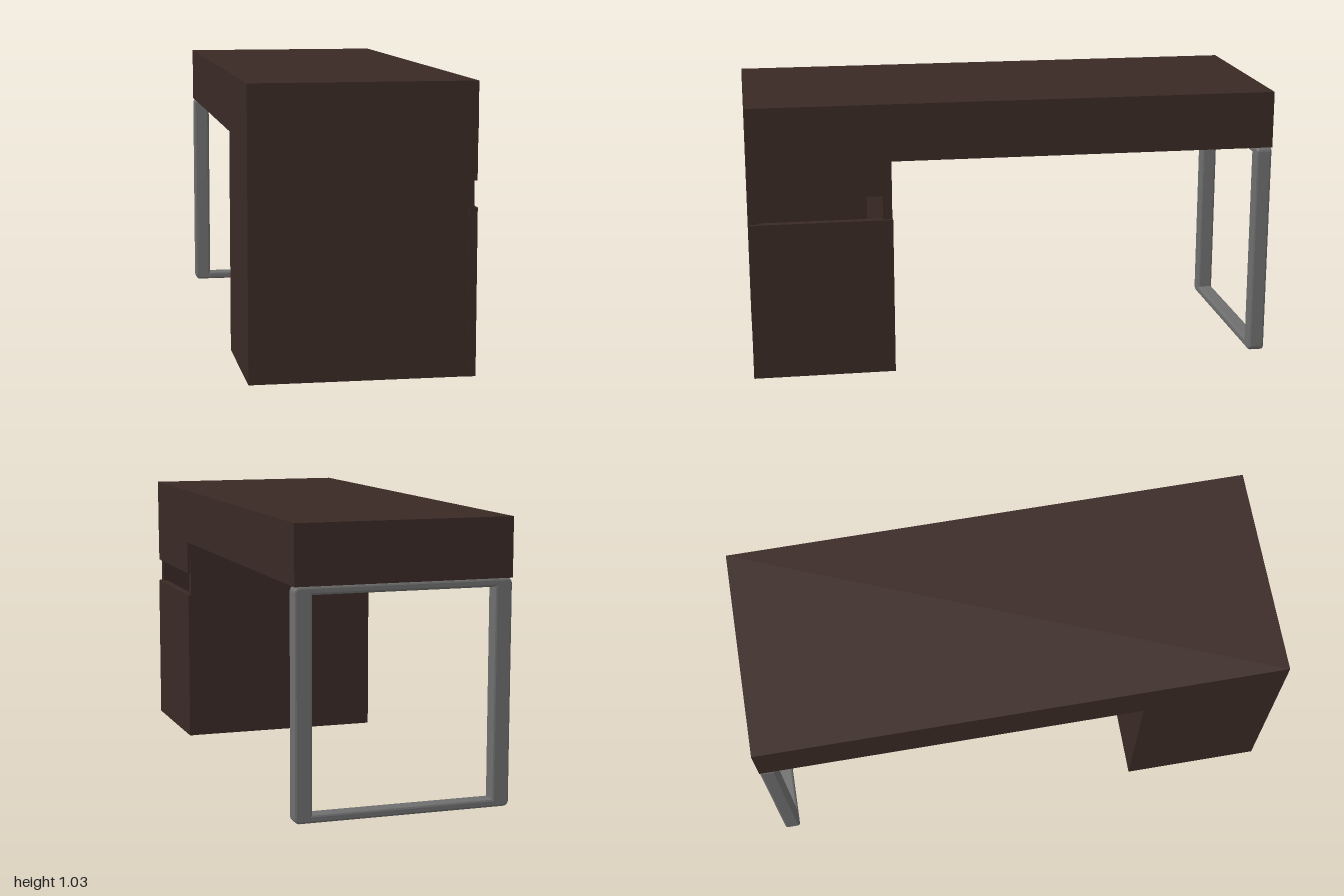
import * as THREE from 'three';

const wood = new THREE.MeshStandardMaterial({ color: 0x3a2925 });
const metal = new THREE.MeshStandardMaterial({ color: 0x6e6e6e });

// Box given by its min and max corners
function box(name, [x0, y0, z0], [x1, y1, z1]) {
  const geo = new THREE.BoxGeometry(x1 - x0, y1 - y0, z1 - z0);
  geo.translate((x0 + x1) / 2, (y0 + y1) / 2, (z0 + z1) / 2);
  const mesh = new THREE.Mesh(geo, wood);
  mesh.name = name;
  return mesh;
}

// Rectangle outline with small rounded corners
function roundedRect(target, x0, y0, x1, y1, r) {
  target.absarc(x1 - r, y0 + r, r, -Math.PI / 2, 0);
  target.absarc(x1 - r, y1 - r, r, 0, Math.PI / 2);
  target.absarc(x0 + r, y1 - r, r, Math.PI / 2, Math.PI);
  target.absarc(x0 + r, y0 + r, r, Math.PI, Math.PI * 1.5);
  target.closePath();
  return target;
}

// Closed metal loop leg: posts joined by thin top and bottom rails
function legFrame() {
  const bevel = 0.008;
  const shape = roundedRect(new THREE.Shape(), -0.4 + bevel, bevel, 0.4 - bevel, 0.82 - bevel, 0.012);
  shape.holes.push(roundedRect(new THREE.Path(), -0.335 - bevel, 0.03 - bevel, 0.335 + bevel, 0.79 + bevel, 0.004));
  const geo = new THREE.ExtrudeGeometry(shape, {
    depth: 0.06 - 2 * bevel, bevelThickness: bevel, bevelSize: bevel, bevelSegments: 2, curveSegments: 4,
  });
  geo.translate(0, 0, -1 + bevel);
  const mesh = new THREE.Mesh(geo, metal);
  mesh.name = 'legFrame';
  return mesh;
}

export function createModel() {
  const desk = new THREE.Group();
  desk.name = 'desk';

  // Thick top
  desk.add(box('desktop', [-0.4, 0.82, -1], [0.4, 1.035, 0.985]));

  // Hollow cabinet carcass
  const cabinet = new THREE.Group();
  cabinet.name = 'cabinet';
  cabinet.add(
    box('innerSidePanel', [-0.4, 0, 0.455], [0.388, 0.82, 0.49]),
    box('outerSidePanel', [-0.4, 0, 0.95], [0.388, 0.82, 0.985]),
    box('backPanel', [-0.4, 0, 0.49], [-0.37, 0.82, 0.95]),
    box('bottomPanel', [-0.37, 0, 0.49], [0.37, 0.03, 0.95]),
    box('shelf', [-0.37, 0.69, 0.49], [0.388, 0.72, 0.95]),
  );

  // Drawer fronts with an open hand grip between them
  cabinet.add(
    box('upperDrawerFront', [0.37, 0.69, 0.46], [0.4, 0.82, 0.98]),
    box('lowerDrawerFront', [0.37, 0, 0.453], [0.4, 0.597, 0.987]),
  );
  desk.add(cabinet);

  desk.add(legFrame());
  return desk;
}
